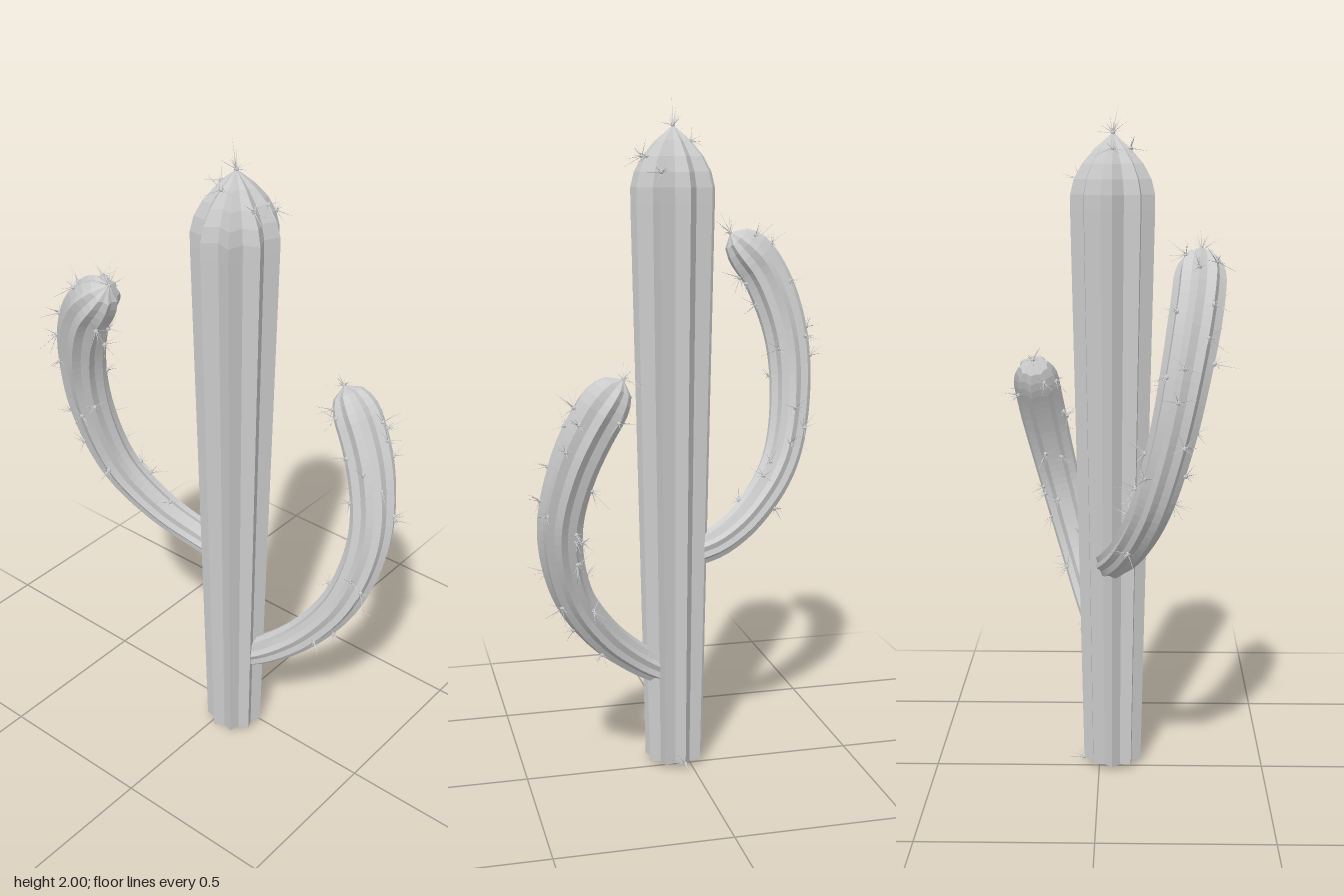
import * as THREE from 'three';
import { mergeGeometries } from 'three/addons/utils/BufferGeometryUtils.js';

const STEPS = 44;
const RIBS = 9;
const V = (x, y, z) => new THREE.Vector3(x, y, z);

// Small seeded generator for the spine scatter
function seeded(seed) {
  return () => {
    seed = (seed * 16807) % 2147483647;
    return seed / 2147483647;
  };
}

// Star-section stem swept along a curve; radius(u) gives the ridge radius
function makeStem(curve, radius, valley) {
  const frames = curve.computeFrenetFrames(STEPS, false);
  const sides = RIBS * 2;
  const pointOn = (i, j) => {
    const a = (j / sides) * Math.PI * 2;
    const r = radius(i / STEPS) * (j % 2 ? valley : 1);
    return curve.getPointAt(i / STEPS)
      .addScaledVector(frames.normals[i], Math.cos(a) * r)
      .addScaledVector(frames.binormals[i], Math.sin(a) * r);
  };
  const pos = [], index = [];
  for (let i = 0; i <= STEPS; i++) {
    for (let j = 0; j < sides; j++) pos.push(...pointOn(i, j).toArray());
  }
  for (let i = 0; i < STEPS; i++) {
    for (let j = 0; j < sides; j++) {
      const a = i * sides + j, b = i * sides + (j + 1) % sides;
      index.push(a, b, a + sides);
      if (i < STEPS - 1) index.push(b, b + sides, a + sides);
    }
  }
  // Flat cap at the foot
  const centre = pos.length / 3;
  pos.push(...curve.getPointAt(0).toArray());
  for (let j = 0; j < sides; j++) index.push(centre, (j + 1) % sides, j);

  const geometry = new THREE.BufferGeometry();
  geometry.setAttribute('position', new THREE.Float32BufferAttribute(pos, 3));
  geometry.setIndex(index);
  geometry.computeVertexNormals();

  // Point and outward direction on a ridge, used to seat the spines
  const ridge = (u, rib) => {
    const i = Math.round(u * STEPS);
    const point = pointOn(i, rib * 2);
    const out = i === STEPS ? frames.tangents[i].clone()
      : point.clone().sub(curve.getPointAt(i / STEPS)).normalize();
    return { point, out };
  };
  return { geometry, ridge };
}

// One thin three-sided spine from a point along a direction
function makeSpine(point, dir, length) {
  const g = new THREE.ConeGeometry(0.0013, length, 3, 1, true);
  g.translate(0, length / 2, 0);
  g.applyQuaternion(new THREE.Quaternion().setFromUnitVectors(V(0, 1, 0), dir));
  return g.translate(point.x, point.y, point.z);
}

// A nub with a burst of spines
function makeCluster({ point, out }, random, count = 9) {
  const parts = [new THREE.SphereGeometry(0.007, 5, 4).translate(point.x, Math.max(point.y, 0.008), point.z)];
  for (let k = 0; k < count; k++) {
    const dir = V(random() - 0.5, random() - 0.5, random() - 0.5).normalize()
      .addScaledVector(out, 0.75).normalize();
    const length = 0.025 + 0.05 * random() ** 1.5;
    if (point.y + dir.y * length < 0) dir.y *= -1;
    parts.push(makeSpine(point, dir, length));
  }
  return parts;
}

export function createModel() {
  const model = new THREE.Group();
  model.name = 'cactus';
  const skin = new THREE.MeshStandardMaterial({ color: 0xcccccc, flatShading: true });

  const add = (geometry, name) => {
    const mesh = new THREE.Mesh(geometry, skin);
    mesh.name = name;
    model.add(mesh);
  };

  // Trunk: widens upwards, then closes in a pointed dome
  const foot = 0.015, top = 1.91, shoulder = 1.72;
  const trunk = makeStem(
    new THREE.LineCurve3(V(-0.04, foot, 0.04), V(-0.04, top, 0.04)),
    (u) => {
      const y = foot + u * (top - foot);
      const r = 0.088 + 0.036 * Math.min(1, y / shoulder);
      const d = Math.max(0, (y - shoulder) / (top - shoulder));
      return r * Math.max(0, 1 - d ** 2.1);
    }, 0.77);
  add(trunk.geometry, 'trunk');

  let random = seeded(4177);
  const tip = V(-0.04, top, 0.04);
  const heel = V(0.048, 0.018, 0.025);
  const trunkSpines = [
    ...makeCluster({ point: tip, out: V(0, 1, 0) }, random, 14),
    makeSpine(tip, V(-0.2, 1, 0).normalize(), 0.09),
    ...makeCluster({ point: heel, out: V(1, 0.3, 0).normalize() }, random, 6),
    makeSpine(heel, V(1, 0, 0), 0.08),
    makeSpine(heel, V(0.3, -1, 0).normalize(), 0.018),
  ];
  // Nubs on the shoulder ridges
  for (const [u, rib] of [[0.93, 6], [0.95, 4], [0.95, 5], [0.98, 2], [0.98, 0]]) {
    trunkSpines.push(...makeCluster(trunk.ridge(u, rib), random, 8));
  }
  add(mergeGeometries(trunkSpines), 'trunkSpines');

  // Arms: curved stems that leave the trunk, sweep up and bend back in
  const arms = [
    {
      name: 'frontArm', seed: 911,
      path: [[-0.035, 0.29, 0.07], [-0.015, 0.345, 0.16], [0.03, 0.45, 0.275], [0.08, 0.6, 0.37],
        [0.135, 0.8, 0.41], [0.175, 0.98, 0.378], [0.2, 1.13, 0.31], [0.21, 1.23, 0.24]],
    },
    {
      name: 'backArm', seed: 2718,
      path: [[-0.03, 0.655, 0.0], [-0.045, 0.685, -0.1], [-0.09, 0.76, -0.215], [-0.15, 0.9, -0.325],
        [-0.205, 1.1, -0.373], [-0.245, 1.3, -0.365], [-0.275, 1.48, -0.3], [-0.285, 1.595, -0.2]],
    },
  ];
  for (const { name, seed, path } of arms) {
    const curve = new THREE.CatmullRomCurve3(path.map((p) => V(...p)));
    const arm = makeStem(curve, (u) => {
      const d = Math.max(0, (u - 0.9) / 0.1);
      return (0.045 + 0.028 * Math.min(1, u * 1.25)) * Math.sqrt(Math.max(0, 1 - d * d));
    }, 0.84);
    add(arm.geometry, name);

    // Spines get denser toward the tip
    random = seeded(seed);
    const spines = makeCluster(arm.ridge(1, 0), random, 12);
    for (let k = 0; k < 26; k++) {
      const u = 0.16 + 0.81 * Math.pow((k + 0.5) / 26, 0.75);
      const rib = Math.floor(random() * RIBS);
      spines.push(...makeCluster(arm.ridge(u, rib), random, 8));
    }
    add(mergeGeometries(spines), name + 'Spines');
  }
  return model;
}
